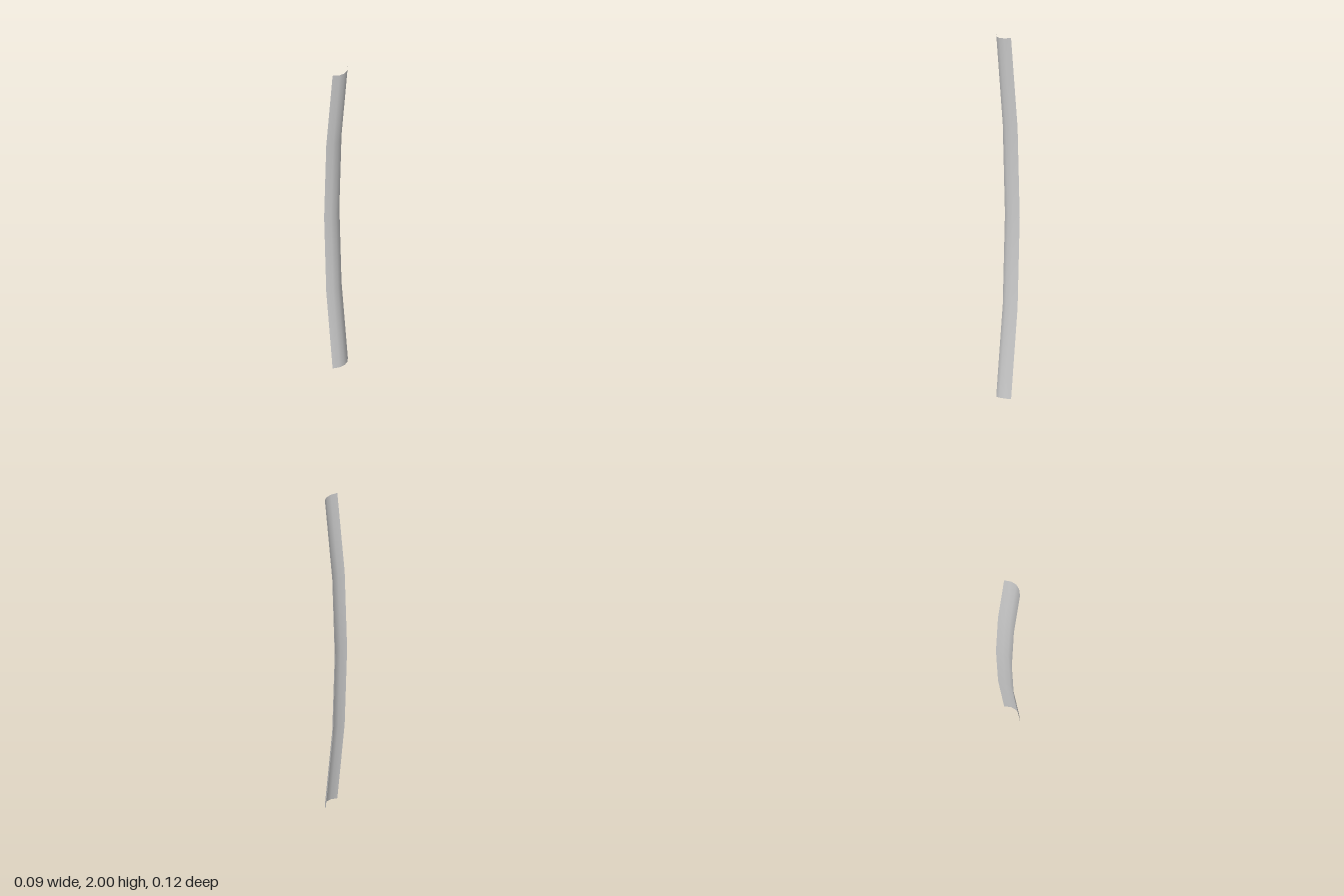
import * as THREE from 'three';

// Thin curved slat: arched across its width, bowed along its length
export function createModel() {
  const group = new THREE.Group();
  group.name = 'curvedSlat';

  const halfWidth = 0.062, arch = 0.031, bow = 0.062;
  const geometry = new THREE.PlaneGeometry(2 * halfWidth, 2, 4, 4);
  geometry.rotateY(Math.PI / 2); // sheet faces +x

  const pos = geometry.attributes.position;
  for (let i = 0; i < pos.count; i++) {
    const v = pos.getY(i); // -1..1 along the length
    const w = pos.getZ(i) / halfWidth; // -1..1 across the width
    const crown = arch * (1 - w * w);
    const x = -0.047 + bow * v * v + crown;
    // sections stay square to the bowed path
    const y = 1 + v - crown * 2 * bow * v;
    pos.setXYZ(i, x, y, w * halfWidth);
  }
  geometry.computeVertexNormals();

  const slat = new THREE.Mesh(
    geometry,
    new THREE.MeshStandardMaterial({ color: 0xcccccc, side: THREE.DoubleSide })
  );
  slat.name = 'slat';
  group.add(slat);
  return group;
}
